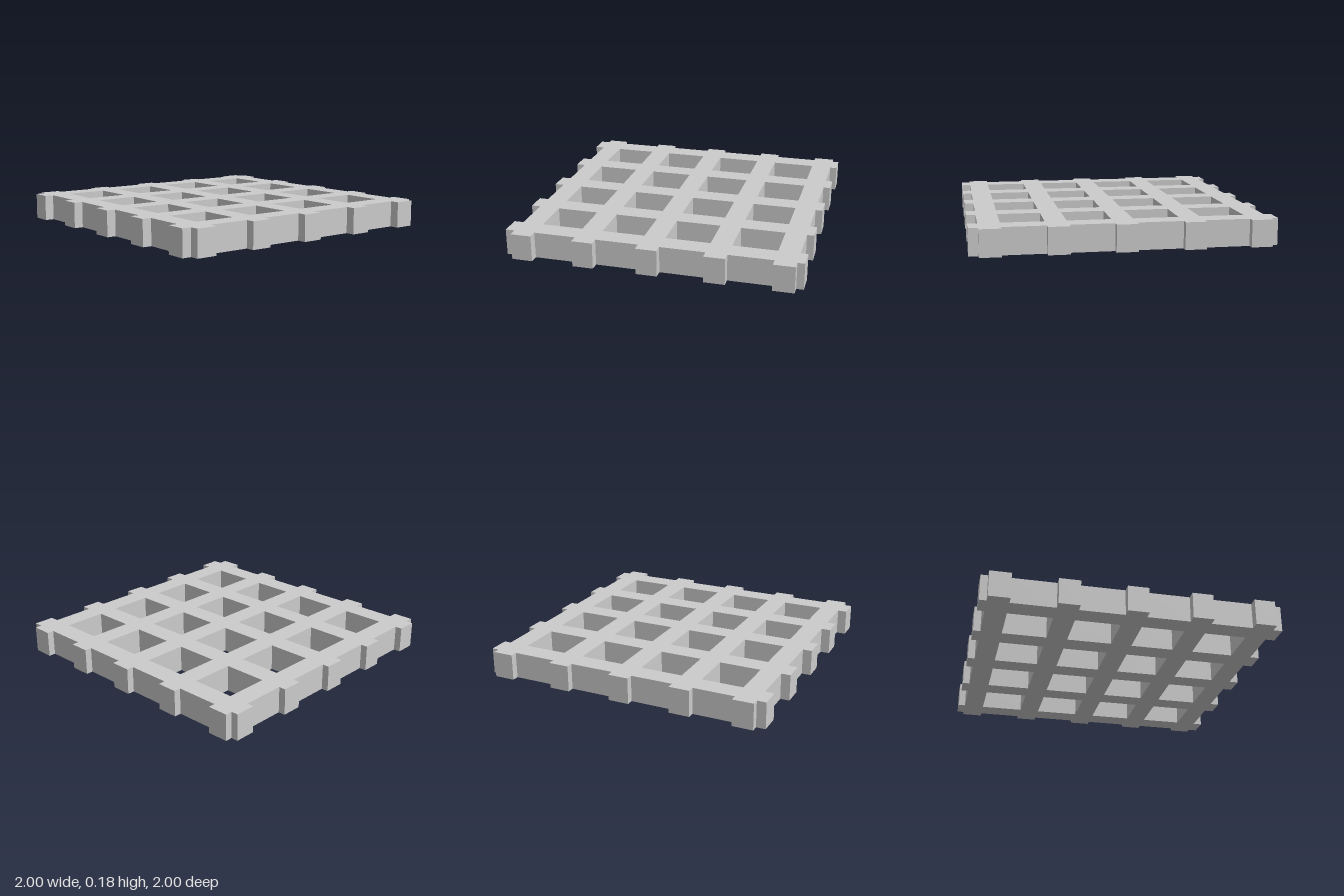
import * as THREE from 'three';

const HEIGHT = 0.18;
const BAR = 0.142;
// The same slightly uneven spacing is used for the bars in both directions.
const bars = [-0.881, -0.44, 0.006, 0.439, 0.866].map((c) => [c - BAR / 2, c + BAR / 2]);
const near = bars[0][0];
const far = bars[4][1];

// Stepped edge: every bar end sticks out from the frame line to the tip.
const edge = (frame, tip) =>
  bars.flatMap(([lo, hi]) => [[lo, frame], [lo, tip], [hi, tip], [hi, frame]]);
const swap = (points) => points.map(([a, b]) => [b, a]);

export function createModel() {
  const model = new THREE.Group();
  model.name = 'grating';

  // Outline walked around the four sides; the corners are shared points.
  const outline = [
    ...edge(near, -1),
    ...swap(edge(far, 1)),
    ...edge(far, 1).reverse(),
    ...swap(edge(near, -1)).reverse(),
  ].filter((p, i, all) => {
    const q = all[(i + 1) % all.length];
    return Math.hypot(p[0] - q[0], p[1] - q[1]) > 1e-6;
  });
  const shape = new THREE.Shape(outline.map(([x, z]) => new THREE.Vector2(x, z)));

  // Square openings between neighbouring bars.
  for (let i = 0; i < 4; i++) {
    for (let j = 0; j < 4; j++) {
      const [x0, x1] = [bars[i][1], bars[i + 1][0]];
      const [z0, z1] = [bars[j][1], bars[j + 1][0]];
      shape.holes.push(new THREE.Path([
        new THREE.Vector2(x0, z0), new THREE.Vector2(x0, z1),
        new THREE.Vector2(x1, z1), new THREE.Vector2(x1, z0),
      ]));
    }
  }

  // Lay the extrusion flat, standing on the ground.
  const geometry = new THREE.ExtrudeGeometry(shape, { depth: HEIGHT, bevelEnabled: false });
  geometry.rotateX(Math.PI / 2).translate(0, HEIGHT, 0);

  const lattice = new THREE.Mesh(
    geometry,
    new THREE.MeshStandardMaterial({ color: 0xcccccc, flatShading: true }),
  );
  lattice.name = 'crossedBars';
  model.add(lattice);
  return model;
}
